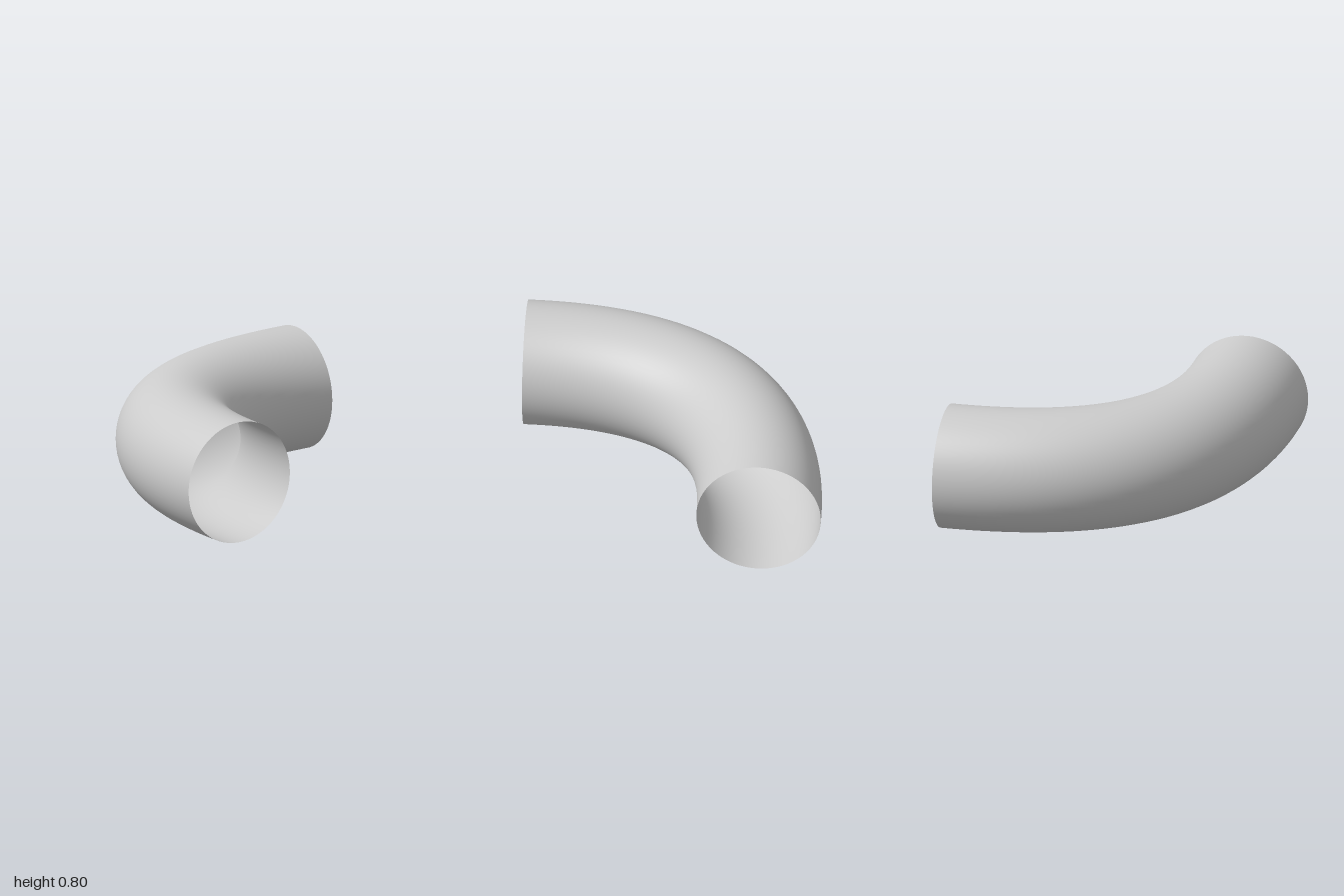
import * as THREE from 'three';

const RADIUS = 0.4;
const BEND = 0.6; // distance of the straight-line corner from the centre

export function createModel() {
  const group = new THREE.Group();
  group.name = 'pipeElbow';

  // Centre line: from the back opening round to the left opening
  const path = new THREE.QuadraticBezierCurve3(
    new THREE.Vector3(-BEND, RADIUS, -1),
    new THREE.Vector3(-BEND, RADIUS, BEND),
    new THREE.Vector3(1, RADIUS, BEND)
  );

  // Thin-walled pipe, open at both ends
  const pipe = new THREE.Mesh(
    new THREE.TubeGeometry(path, 64, RADIUS, 64, false),
    new THREE.MeshStandardMaterial({ color: 0xcccccc, side: THREE.DoubleSide })
  );
  pipe.name = 'bentPipe';
  group.add(pipe);

  return group;
}
